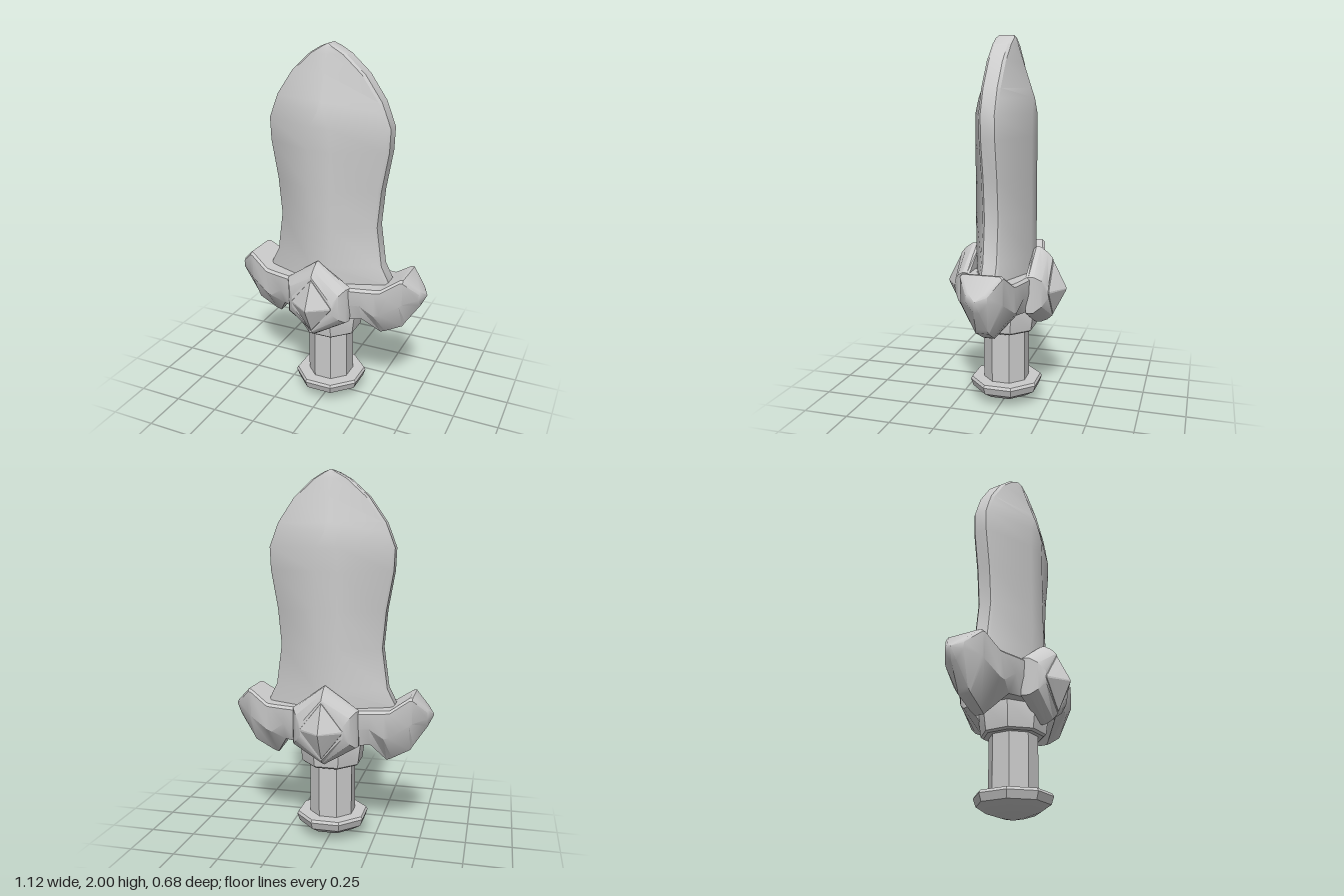
import * as THREE from 'three';
import { toCreasedNormals } from 'three/addons/utils/BufferGeometryUtils.js';

const material = new THREE.MeshStandardMaterial({ color: 0xcccccc });

// Closed skin over a series of equal-length rings, capped at both ends.
function loft(name, rings, crease = 0.5) {
  const tris = [];
  const add = (a, b, c) => {
    const area = b.clone().sub(a).cross(c.clone().sub(a)).length();
    if (area > 1e-8) tris.push([a, b, c]);
  };
  const n = rings[0].length;
  for (let i = 0; i < rings.length - 1; i++) {
    for (let j = 0; j < n; j++) {
      const k = (j + 1) % n, a = rings[i], b = rings[i + 1];
      add(a[j], a[k], b[k]);
      add(a[j], b[k], b[j]);
    }
  }
  const cap = (ring, flip) => {
    const c = ring.reduce((s, p) => s.add(p), new THREE.Vector3()).divideScalar(n);
    ring.forEach((p, j) => {
      const q = ring[(j + 1) % n];
      flip ? add(c, q, p) : add(c, p, q);
    });
  };
  cap(rings[0], true);
  cap(rings[rings.length - 1], false);
  // Turn the faces outward whichever way the rings run
  const volume = tris.reduce((s, [a, b, c]) => s + a.dot(b.clone().cross(c)), 0);
  const points = tris.flatMap(([a, b, c]) => (volume > 0 ? [a, b, c] : [a, c, b]));
  const geometry = toCreasedNormals(new THREE.BufferGeometry().setFromPoints(points), crease);
  const mesh = new THREE.Mesh(geometry, material);
  mesh.name = name;
  return mesh;
}

const V = (x, y, z) => new THREE.Vector3(x, y, z);

// Eight-sided turned part with flats facing front and side; profile is [flat radius, y]
function octagonal(name, profile) {
  return loft(name, profile.map(([r, y]) => Array.from({ length: 8 }, (_, i) => {
    const a = (i + 0.5) * Math.PI / 4, R = r / Math.cos(Math.PI / 8);
    return V(R * Math.cos(a), y, R * Math.sin(a));
  })));
}

// Leaf-shaped blade: [y, half width, ridge half width, ridge depth]
function blade() {
  const stations = [
    [0.68, 0.355, 0.06, 0.155], [0.76, 0.355, 0.06, 0.155], [0.85, 0.31, 0.06, 0.155],
    [1.07, 0.28, 0.06, 0.155], [1.27, 0.298, 0.06, 0.155], [1.48, 0.335, 0.06, 0.155],
    [1.6, 0.34, 0.055, 0.155], [1.68, 0.31, 0.01, 0.152], [1.73, 0.29, 0.004, 0.136],
    [1.86, 0.2, 0.003, 0.093], [1.95, 0.1, 0.002, 0.064], [1.985, 0.04, 0.001, 0.052], [2, 0, 0, 0.04],
  ];
  return loft('blade', stations.map(([y, w, r, d]) => {
    const e = Math.max(w - 0.014, 0), t = Math.min(0.05, d);
    const half = [[w, -0.036], [w, 0.036], [e, t], [r, d], [-r, d], [-e, t]];
    const back = [[-w, 0.036], [-w, -0.036], [-e, -t], [-r, -d], [r, -d], [e, -t]];
    return [...half, ...back].map(([x, z]) => V(x, y, z));
  }));
}

// Crossguard: [x, top, bottom, half depth, half depth along the bottom]
function guard() {
  const half = [
    [0, 0.755, 0.54, 0.19, 0.17], [0.17, 0.755, 0.56, 0.178, 0.15], [0.235, 0.755, 0.56, 0.165, 0.12],
    [0.31, 0.755, 0.45, 0.147, 0.025], [0.34, 0.757, 0.464, 0.14, 0.03], [0.44, 0.825, 0.52, 0.115, 0.035],
    [0.455, 0.825, 0.545, 0.11, 0.03], [0.53, 0.752, 0.655, 0.055, 0.015], [0.56, 0.72, 0.715, 0.002, 0.001],
  ];
  const mirrored = half.slice(1).reverse().map(([x, ...rest]) => [-x, ...rest]);
  return loft('crossguard', [...mirrored, ...half].map(([x, top, bottom, d, k]) => {
    const bevel = Math.min(0.014, d / 2, (top - bottom) / 4);
    const mid = bottom + (top - bottom) * 0.5;
    const side = [[top, d - bevel], [top - bevel, d], [mid, d * 0.98], [bottom, k]];
    return [
      ...side.map(([y, z]) => V(x, y, z)),
      ...side.slice().reverse().map(([y, z]) => V(x, y, -z)),
    ];
  }), 0.6);
}

// Pointed shield and faceted stud: [z, half width, flank top, flank bottom, top, bottom]
function boss(name, s) {
  const ring = ([z, w, flankTop, flankBottom, top, bottom]) => [
    V(0, top, s * z), V(w, flankTop, s * z), V(w, flankBottom, s * z),
    V(0, bottom, s * z), V(-w, flankBottom, s * z), V(-w, flankTop, s * z),
  ];
  const group = new THREE.Group();
  group.name = name;
  group.add(loft('shield', [
    [0.155, 0.18, 0.755, 0.56, 0.87, 0.465], [0.17, 0.18, 0.755, 0.56, 0.885, 0.455],
    [0.195, 0.17, 0.755, 0.56, 0.883, 0.457], [0.235, 0.145, 0.73, 0.59, 0.855, 0.475],
    [0.262, 0.115, 0.69, 0.63, 0.825, 0.5],
  ].map(ring), 0.6));
  group.add(loft('stud', [
    [0.25, 0.115, 0.67, 0.65, 0.815, 0.505], [0.266, 0.113, 0.665, 0.655, 0.81, 0.51],
    [0.335, 0.008, 0.663, 0.657, 0.674, 0.646], [0.34, 0, 0.66, 0.66, 0.66, 0.66],
  ].map(ring), 0.3));
  return group;
}

export function createModel() {
  const model = new THREE.Group();
  model.name = 'dagger';
  model.add(
    blade(),
    guard(),
    boss('frontBoss', 1),
    boss('backBoss', -1),
    octagonal('collar', [[0.145, 0.415], [0.157, 0.425], [0.175, 0.56], [0.165, 0.6]]),
    octagonal('grip', [[0.118, 0.1], [0.118, 0.44]]),
    octagonal('pommel', [[0, 0], [0.06, 0.013], [0.125, 0.035], [0.175, 0.07], [0.188, 0.11], [0.18, 0.125], [0.11, 0.125]]),
  );
  return model;
}
